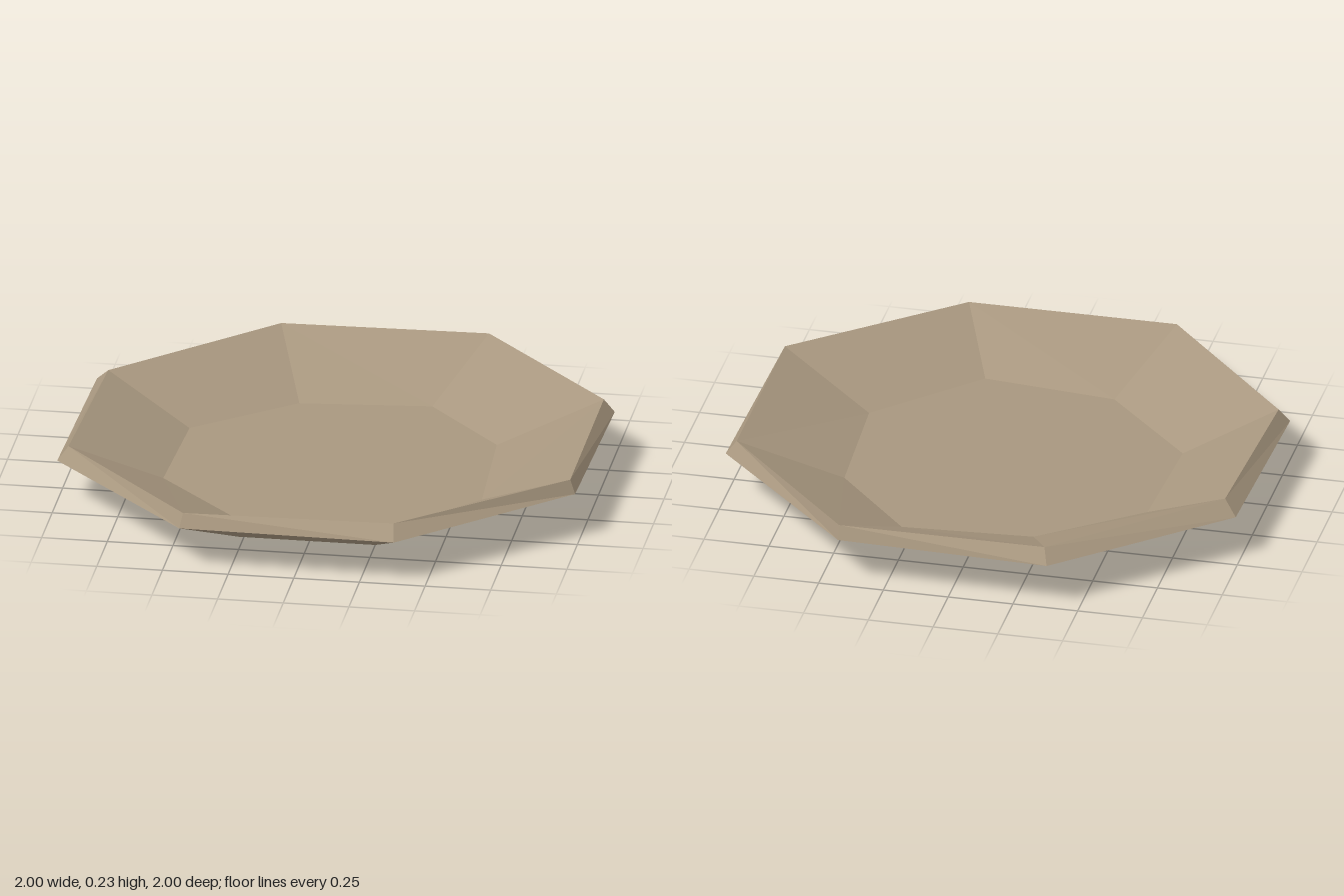
import * as THREE from 'three';

const SIDES = 8;
const TURN = THREE.MathUtils.degToRad(23.3);

// Regular octagon ring as [x, z] corners, running from +x towards +z
const octagon = (radius) => Array.from({ length: SIDES }, (_, i) => {
  const a = TURN + (i * Math.PI * 2) / SIDES;
  return [radius * Math.cos(a), radius * Math.sin(a)];
});
const centre = Array.from({ length: SIDES }, () => [0, 0]);

// Slightly uneven, hand-shaped rings
const rimTop = [[0.96, 0.42], [0.37, 0.94], [-0.43, 0.95], [-0.96, 0.36],
  [-0.93, -0.40], [-0.36, -0.95], [0.43, -0.96], [0.96, -0.38]];
const floorEdge = [[0.60, 0.27], [0.24, 0.65], [-0.27, 0.60], [-0.62, 0.23],
  [-0.60, -0.27], [-0.23, -0.57], [0.27, -0.61], [0.57, -0.27]];
const widest = [[0.98, 0.43], [0.38, 1.0], [-0.44, 0.975], [-1.0, 0.38],
  [-0.98, -0.44], [-0.38, -1.0], [0.43, -0.98], [1.0, -0.39]];

// The whole dish leans a touch to the front left
const place = ([x, z], y) => [x, y + 0.006 * (x - z), z];

// Faceted skin between two rings
function skin(lower, upper) {
  const pos = [];
  for (let i = 0; i < SIDES; i++) {
    const j = (i + 1) % SIDES;
    const a = place(lower.ring[i], lower.y), b = place(lower.ring[j], lower.y);
    const c = place(upper.ring[j], upper.y), d = place(upper.ring[i], upper.y);
    if (upper.ring !== centre) pos.push(...a, ...d, ...c);
    else pos.push(...a, ...d, ...b);
    if (lower.ring !== centre && upper.ring !== centre) pos.push(...a, ...c, ...b);
  }
  const geometry = new THREE.BufferGeometry();
  geometry.setAttribute('position', new THREE.Float32BufferAttribute(pos, 3));
  geometry.computeVertexNormals();
  return geometry;
}

export function createModel() {
  const group = new THREE.Group();
  group.name = 'shallowDish';
  const clay = new THREE.MeshStandardMaterial({ color: 0xa8977f, flatShading: true });
  clay.name = 'clay';

  // Cross-section from under the base, over the rim and into the dish
  const section = [
    { ring: centre, y: 0.006 },
    { ring: octagon(0.68), y: 0.006, part: 'base' },
    { ring: widest, y: 0.173, part: 'outerWall' },
    { ring: rimTop, y: 0.226, part: 'rim' },
    { ring: floorEdge, y: 0.063, part: 'innerWall' },
    { ring: centre, y: 0.063, part: 'floor' },
  ];
  for (let k = 1; k < section.length; k++) {
    const mesh = new THREE.Mesh(skin(section[k - 1], section[k]), clay);
    mesh.name = section[k].part;
    group.add(mesh);
  }
  return group;
}
